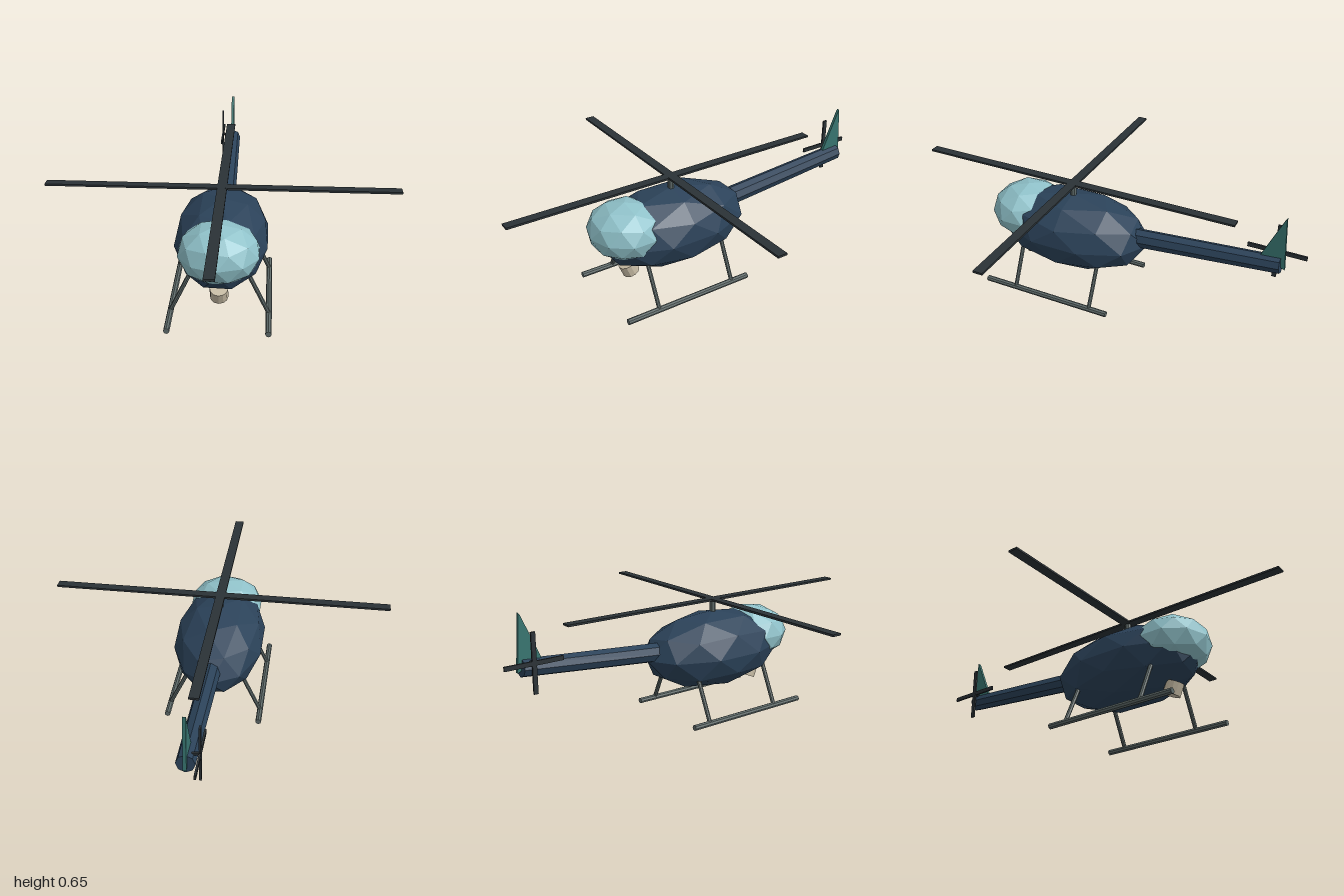
import * as THREE from 'three';

const mat = (name, color) => {
  const m = new THREE.MeshStandardMaterial({ color });
  m.name = name;
  return m;
};

export function createModel() {
  const model = new THREE.Group();
  model.name = 'helicopter';

  const navy = mat('navy paint', 0x2b4259);
  const glass = mat('pale glass', 0x8fc1c9);
  const dark = mat('dark rotor', 0x2b3236);
  const steel = mat('grey steel', 0x5e6a69);
  const teal = mat('teal paint', 0x387570);
  const beige = mat('beige lamp', 0xc6bba4);

  // Faceted mesh: every face gets its own normal
  const add = (name, geometry, material, parent = model) => {
    const g = geometry.index ? geometry.toNonIndexed() : geometry;
    g.computeVertexNormals();
    const mesh = new THREE.Mesh(g, material);
    mesh.name = name;
    parent.add(mesh);
    return mesh;
  };

  // Icosphere standing on a vertex, stretched to an ellipsoid
  const ellipsoid = (name, material, radii, centre) => {
    const g = new THREE.IcosahedronGeometry(1, 1);
    g.rotateZ(-Math.atan(2 / (1 + Math.sqrt(5))));
    g.scale(...radii).translate(...centre);
    return add(name, g, material);
  };

  // Cylinder running between two points
  const rod = (name, material, from, to, r0, r1 = r0, sides = 8, parent = model) => {
    const a = new THREE.Vector3(...from), b = new THREE.Vector3(...to);
    const dir = b.clone().sub(a);
    const g = new THREE.CylinderGeometry(r1, r0, dir.length(), sides);
    const mesh = add(name, g, material, parent);
    mesh.position.copy(a).add(b).multiplyScalar(0.5);
    mesh.quaternion.setFromUnitVectors(new THREE.Vector3(0, 1, 0), dir.normalize());
    return mesh;
  };

  const bar = (name, size, parent) => add(name, new THREE.BoxGeometry(...size), dark, parent);

  // Fuselage and canopy
  ellipsoid('fuselage', navy, [0.231, 0.193, 0.405], [0, 0.313, 0.165]);
  ellipsoid('canopy', glass, [0.193, 0.138, 0.185], [0, 0.362, 0.42]);

  // Tail boom and fin
  rod('tailBoom', navy, [0, 0.34, -0.1], [0, 0.409, -0.897], 0.048, 0.042);
  const fin = new THREE.Shape([[0.8, 0.44], [0.917, 0.39], [0.897, 0.655], [0.89, 0.645]]
    .map(([z, y]) => new THREE.Vector2(z, y)));
  const finGeometry = new THREE.ExtrudeGeometry(fin, { depth: 0.015, bevelEnabled: false });
  finGeometry.translate(0, 0, -0.0075).rotateY(Math.PI / 2);
  add('tailFin', finGeometry, teal);

  // Main rotor
  const rotor = new THREE.Group();
  rotor.name = 'mainRotor';
  rotor.position.set(0, 0.564, 0.163);
  model.add(rotor);
  bar('crossBlade', [1.67, 0.01, 0.046], rotor);
  bar('longBlade', [0.046, 0.0098, 1.67], rotor);
  rod('rotorMast', steel, [0, 0.48, 0.163], [0, 0.562, 0.163], 0.016);

  // Tail rotor on the right side of the boom
  const tailRotor = new THREE.Group();
  tailRotor.name = 'tailRotor';
  tailRotor.position.set(-0.056, 0.438, -0.86);
  model.add(tailRotor);
  bar('uprightTailBlade', [0.009, 0.28, 0.021], tailRotor);
  bar('levelTailBlade', [0.0088, 0.021, 0.28], tailRotor);
  rod('tailRotorHub', dark, [0.003, 0, 0], [0.035, -0.004, 0], 0.008, 0.008, 8, tailRotor);

  // Landing skids with two struts on each side
  for (const s of [1, -1]) {
    rod('skid', steel, [s * 0.233, 0.0145, -0.13], [s * 0.233, 0.0145, 0.555], 0.0145);
    for (const z of [0.385, -0.035]) {
      rod('skidStrut', steel, [s * 0.233, 0.018, z], [s * 0.128, 0.242, z], 0.0105);
    }
  }

  // Searchlight under the nose
  rod('searchlight', beige, [0, 0.114, 0.402], [0, 0.171, 0.425], 0.043, 0.043, 12);

  return model;
}
